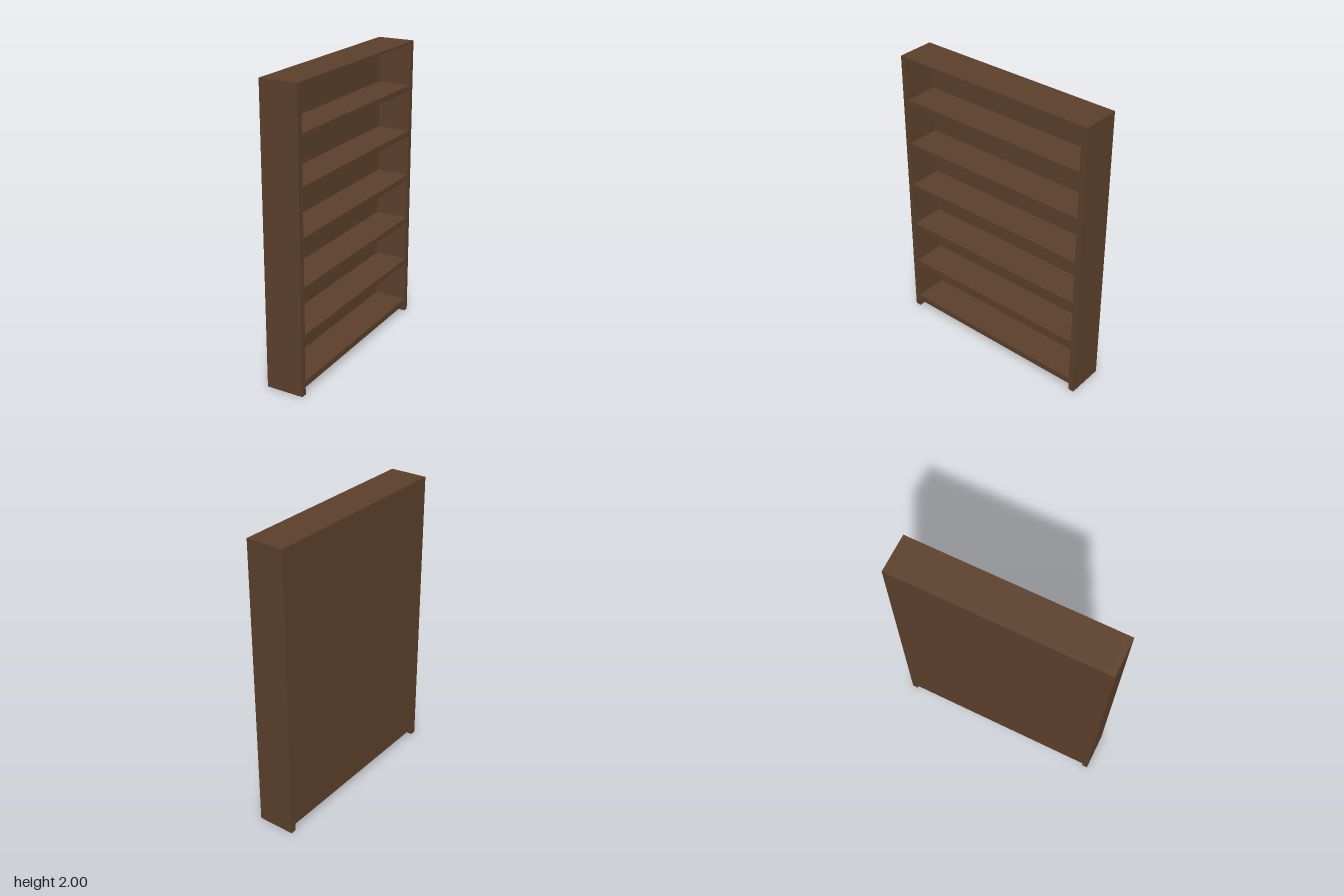
import * as THREE from 'three';

export function createModel() {
  const group = new THREE.Group();
  group.name = 'bookcase';

  const wood = new THREE.MeshStandardMaterial({ color: 0x5c402b });
  wood.name = 'dark brown wood';

  const height = 2, depth = 0.26, width = 1.446;
  const side = 0.04, back = 0.025, footGap = 0.052;
  const innerWidth = width - 2 * side;

  // Box given by its x and y ranges, its z centre and its z length
  function board(name, x0, x1, y0, y1, z, length) {
    const mesh = new THREE.Mesh(new THREE.BoxGeometry(x1 - x0, y1 - y0, length), wood);
    mesh.position.set((x0 + x1) / 2, (y0 + y1) / 2, z);
    mesh.name = name;
    group.add(mesh);
  }

  // Side panels reach the floor and form the feet
  for (const s of [-1, 1]) {
    board(s > 0 ? 'frontSidePanel' : 'backSidePanel',
      -depth / 2, depth / 2, 0, height, s * (width - side) / 2, side);
  }

  // Closed panel behind the shelves; the open side faces +x
  const inner = -depth / 2 + back;
  board('rearPanel', -depth / 2, inner, footGap, height, 0, innerWidth);

  // Bottom board, evenly spaced shelves and thin top board
  board('bottomBoard', inner, depth / 2, footGap, 0.095, 0, innerWidth);
  for (let i = 1; i <= 5; i++) {
    const top = 0.095 + i * 0.321;
    board('shelf' + i, inner, depth / 2, top - 0.037, top, 0, innerWidth);
  }
  board('topBoard', inner, depth / 2, 1.984, height, 0, innerWidth);

  return group;
}
